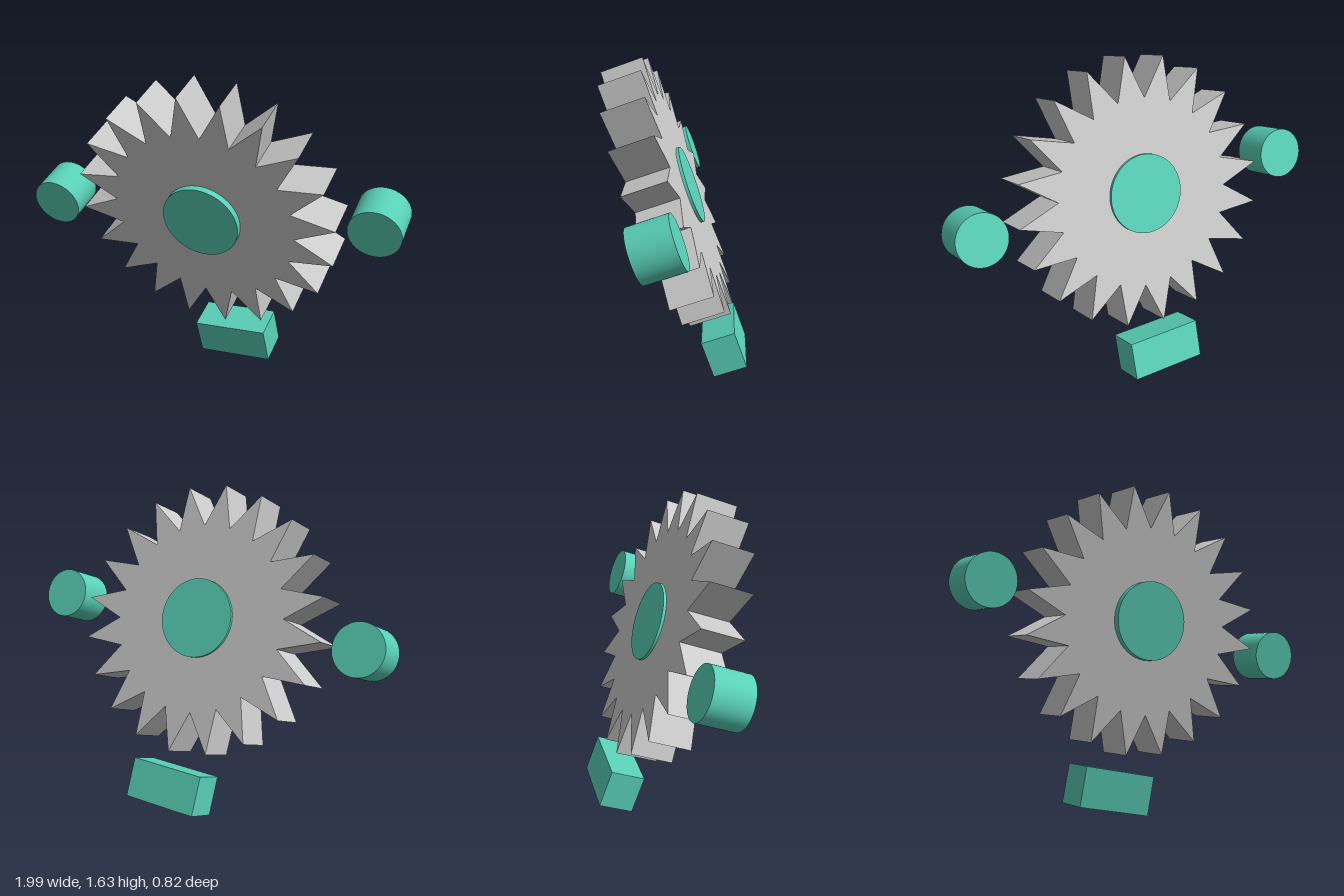
import * as THREE from 'three';

const TEETH = 20, TIP = 0.685, ROOT = 0.475, THICK = 0.22, ORBIT = 0.867;

// star-shaped wheel outline with one tip on local +x
function wheelShape() {
  const points = [];
  for (let i = 0; i < TEETH * 2; i++) {
    const a = (i * Math.PI) / TEETH;
    const r = i % 2 ? ROOT : TIP;
    points.push(new THREE.Vector2(r * Math.cos(a), r * Math.sin(a)));
  }
  return new THREE.Shape(points);
}

// cylinder whose axis is the wheel axis (local z)
function disc(radius, length) {
  return new THREE.CylinderGeometry(radius, radius, length, 64).rotateX(Math.PI / 2);
}

export function createModel() {
  const model = new THREE.Group();
  model.name = 'toothedWheelWithBlocks';

  const grey = new THREE.MeshStandardMaterial({ color: 0xcccccc });
  const teal = new THREE.MeshStandardMaterial({ color: 0x5ad1b8 });

  const add = (name, geometry, material, x = 0, y = 0, z = 0) => {
    const mesh = new THREE.Mesh(geometry, material);
    mesh.name = name;
    mesh.position.set(x, y, z);
    model.add(mesh);
  };

  // toothed wheel, centred on its own mid-plane
  const wheel = new THREE.ExtrudeGeometry(wheelShape(), { depth: THICK, bevelEnabled: false });
  add('toothedWheel', wheel.translate(0, 0, -THICK / 2), grey);

  // hub, standing a little prouder on the front
  add('hub', disc(0.2, 0.27), teal, 0, 0, 0.01);

  // cylinders either side of the wheel
  for (const [name, side] of [['leftCylinder', 1], ['rightCylinder', -1]]) {
    add(name, disc(0.13, 0.2), teal, side * ORBIT, 0, 0);
  }

  // block below the wheel
  add('bottomBlock', new THREE.BoxGeometry(0.4, 0.2, 0.18), teal, 0, -ORBIT, 0);

  // lean the whole assembly: front face turned down and slightly to its left
  const n = new THREE.Vector3(0.19, -0.34, 0.92).normalize();
  const v = n.clone().cross(new THREE.Vector3(0.98, 0.04, -0.196)).normalize();
  const u = v.clone().cross(n);
  model.quaternion.setFromRotationMatrix(new THREE.Matrix4().makeBasis(u, v, n));
  model.position.set(-0.003, 0.947, 0.043);

  const root = new THREE.Group();
  root.name = 'model';
  root.add(model);
  return root;
}
